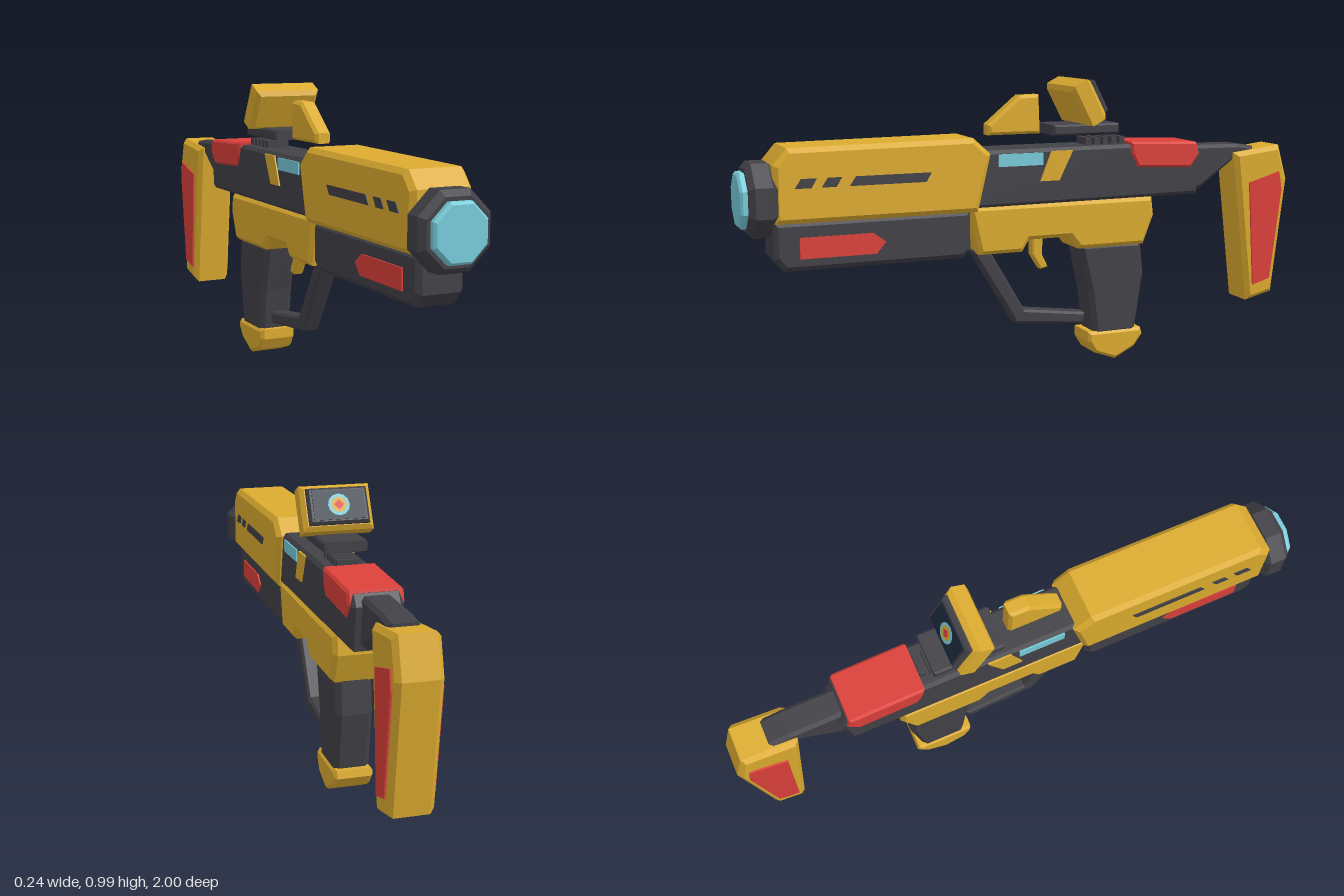
import * as THREE from 'three';

const mat = (name, color) => {
  const m = new THREE.MeshStandardMaterial({ color, flatShading: true });
  m.name = name;
  return m;
};

export function createModel() {
  const group = new THREE.Group();
  const yellow = mat('yellow', 0xdcab2f);
  const dark = mat('charcoal', 0x414147);
  const red = mat('red', 0xdc403a);
  const cyan = mat('cyan', 0x78cbda);
  const navy = mat('navy', 0x1c2a3b);

  const add = (name, geometry, material, parent = group) => {
    const mesh = new THREE.Mesh(geometry, material);
    mesh.name = name;
    parent.add(mesh);
    return mesh;
  };

  // Bevelled extrusion, centred on its depth; the outline keeps its outer size
  const extrude = (pts, width, bevel) => {
    const shape = new THREE.Shape(pts.map(([a, b]) => new THREE.Vector2(a, b)));
    const depth = width - 2 * bevel;
    return new THREE.ExtrudeGeometry(shape, {
      depth, bevelEnabled: bevel > 0, bevelThickness: bevel, bevelSize: bevel,
      bevelOffset: -bevel, bevelSegments: 1,
    }).translate(0, 0, -depth / 2);
  };

  // Solid from a side outline of [z, y] points, centred on x = 0
  const slab = (name, pts, width, material, bevel = 0.012) =>
    add(name, extrude(pts, width, bevel).rotateY(-Math.PI / 2), material);

  // Thin plate on both sides, its outer face at |x| = x
  const plates = (name, pts, x, material) => {
    for (const s of [-1, 1]) {
      const mesh = add(name + (s > 0 ? 'Left' : 'Right'),
        extrude(pts, 0.009, 0).rotateY(-Math.PI / 2), material);
      mesh.position.x = s * (x - 0.0045);
    }
  };

  const rect = (w, h) => [[-w / 2, -h / 2], [w / 2, -h / 2], [w / 2, h / 2], [-w / 2, h / 2]];
  const octagon = (apothem) => Array.from({ length: 8 }, (_, i) => {
    const a = (i + 0.5) * Math.PI / 4, r = apothem / Math.cos(Math.PI / 8);
    return [r * Math.cos(a), r * Math.sin(a)];
  });

  // Muzzle
  add('muzzleRing', extrude(octagon(0.118), 0.09, 0.018), dark).position.set(0, 0.637, 0.932);
  add('muzzleLens', extrude(octagon(0.088), 0.06, 0.008), cyan).position.set(0, 0.637, 0.97);

  // Front shroud with slits
  slab('shroud', [[0.9, 0.565], [0.9, 0.75], [0.855, 0.803], [0.24, 0.81], [0.18, 0.755],
    [0.225, 0.565]], 0.204, yellow, 0.016);
  for (const [front, back] of [[0.835, 0.765], [0.75, 0.685], [0.66, 0.39]])
    plates('shroudSlit', [[front, 0.677], [front - 0.02, 0.707], [back, 0.707],
      [back + 0.018, 0.677]], 0.105, dark);

  // Lower fore-end
  slab('foreEnd', [[0.9, 0.57], [0.9, 0.45], [0.868, 0.41], [0.275, 0.41], [0.245, 0.435],
    [0.245, 0.57]], 0.158, dark, 0.016);
  plates('foreEndPanel', [[0.82, 0.45], [0.82, 0.518], [0.58, 0.518], [0.54, 0.487],
    [0.572, 0.45]], 0.084, red);

  // Receiver and its side details
  slab('receiver', [[0.26, 0.575], [0.21, 0.765], [-0.36, 0.765], [-0.605, 0.755], [-0.63, 0.72],
    [-0.61, 0.578]], 0.162, dark);
  plates('receiverWindow', [[0.15, 0.71], [0.15, 0.752], [-0.01, 0.752], [-0.01, 0.71]], 0.086, cyan);
  plates('receiverSlash', [[-0.04, 0.755], [-0.12, 0.755], [-0.07, 0.655], [0, 0.655]], 0.086, yellow);
  slab('receiverCover', [[-0.34, 0.774], [-0.6, 0.764], [-0.612, 0.72], [-0.578, 0.675],
    [-0.368, 0.685], [-0.345, 0.73]], 0.178, red, 0.008);

  // Trigger housing, trigger and guard
  slab('triggerHousing', [[0.25, 0.578], [-0.432, 0.578], [-0.44, 0.51], [-0.4, 0.41],
    [-0.15, 0.41], [-0.115, 0.455], [0.035, 0.455], [0.06, 0.415], [0.215, 0.415]],
  0.16, yellow, 0.014);
  slab('trigger', [[0.002, 0.47], [-0.04, 0.47], [-0.035, 0.39], [-0.057, 0.345], [-0.03, 0.338],
    [0.002, 0.39]], 0.04, yellow, 0.005);
  slab('triggerGuard', [[0.225, 0.425], [0.067, 0.158], [-0.19, 0.132], [-0.195, 0.172],
    [0.035, 0.203], [0.165, 0.425]], 0.064, dark, 0.008);

  // Grip and its cap
  slab('grip', [[-0.16, 0.42], [-0.4, 0.42], [-0.413, 0.3], [-0.38, 0.09], [-0.22, 0.09],
    [-0.198, 0.25]], 0.122, dark, 0.017);
  slab('gripCap', [[-0.195, 0.106], [-0.4, 0.106], [-0.407, 0.08], [-0.375, 0.038], [-0.3, 0.001],
    [-0.22, 0.03], [-0.195, 0.07]], 0.132, yellow, 0.01);

  // Stock
  slab('stockArm', [[-0.58, 0.748], [-0.79, 0.745], [-0.86, 0.735], [-0.86, 0.7], [-0.78, 0.69],
    [-0.64, 0.592], [-0.58, 0.592]], 0.1, dark);
  slab('stock', [[-0.77, 0.715], [-0.96, 0.737], [-0.997, 0.61], [-0.945, 0.19],
    [-0.838, 0.165]], 0.144, yellow, 0.016);
  plates('stockPanel', [[-0.83, 0.605], [-0.955, 0.64], [-0.967, 0.575], [-0.925, 0.245],
    [-0.855, 0.225]], 0.078, red);

  // Front sight
  slab('frontSight', [[0.165, 0.81], [0.165, 0.845], [0.05, 0.94], [-0.02, 0.942],
    [-0.025, 0.81]], 0.058, yellow, 0.01);

  // Rear sight mount and rail teeth
  slab('sightMount', [[-0.055, 0.805], [-0.055, 0.84], [-0.3, 0.84], [-0.3, 0.805]], 0.148, dark, 0.006);
  for (let i = 0; i < 5; i++)
    add('railTooth', new THREE.BoxGeometry(0.08, 0.03, 0.02), dark)
      .position.set(0, 0.775, -0.2 - i * 0.032);

  // Tilted display, screen facing the rear
  const display = new THREE.Group();
  display.name = 'display';
  display.position.set(0, 0.915, -0.168);
  display.rotation.x = 0.48;
  group.add(display);
  add('displayHousing', extrude(rect(0.234, 0.152), 0.078, 0.014), yellow, display);
  add('screenFrame', extrude(rect(0.2, 0.12), 0.028, 0.008), dark, display).position.z = -0.044;
  add('screen', new THREE.BoxGeometry(0.17, 0.096, 0.006), navy, display).position.z = -0.058;

  // Simple target graphic on the screen
  const disc = (name, r, sides, z, material) => {
    const mesh = add(name, new THREE.CircleGeometry(r, sides), material, display);
    mesh.rotation.y = Math.PI;
    mesh.position.z = z;
  };
  disc('screenDisc', 0.036, 12, -0.062, cyan);
  disc('screenRing', 0.026, 8, -0.063, yellow);
  disc('screenDot', 0.017, 4, -0.064, red);

  return group;
}
